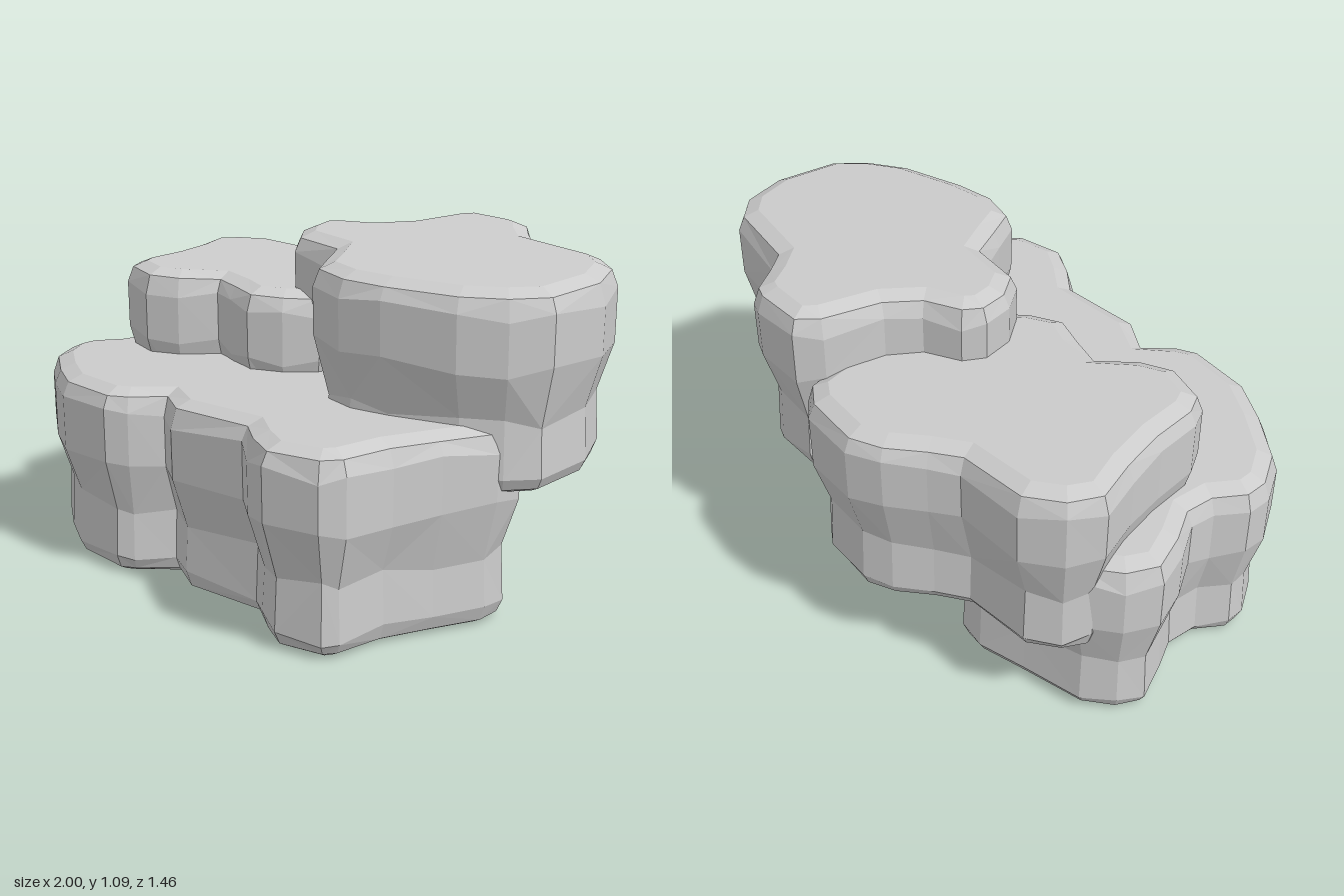
import * as THREE from 'three';

const material = new THREE.MeshStandardMaterial({ color: 0xcccccc, flatShading: true });

// Side profile shared by every boulder: [height fraction, inset from outline]
const PROFILE = [
  [0, 0.09], [0.025, 0.06], [0.09, 0.042], [0.35, 0.05], [0.62, 0.002],
  [0.88, 0], [0.965, 0.02], [1, 0.07],
];

// Small seeded noise in -1..1
function noise(seed) {
  const s = Math.sin(seed * 127.1 + 11.7) * 43758.5453;
  return (s - Math.floor(s)) * 2 - 1;
}

// Move each outline point inward along its averaged normal
function insetRing(outline, amount) {
  const n = outline.length;
  return outline.map(([x, z], i) => {
    const [px, pz] = outline[(i + n - 1) % n];
    const [qx, qz] = outline[(i + 1) % n];
    const a = new THREE.Vector2(-(z - pz), x - px).normalize();
    const b = new THREE.Vector2(-(qz - z), qx - x).normalize();
    const out = a.add(b).normalize();
    return [x - out.x * amount, z - out.y * amount];
  });
}

// Loft an outline (counter-clockwise from above) through the profile, with a slight tilt
function boulder(name, outline, bottom, top, tiltX, tiltZ, seed) {
  const n = outline.length;
  const cx = outline.reduce((s, p) => s + p[0], 0) / n;
  const cz = outline.reduce((s, p) => s + p[1], 0) / n;
  const positions = [];
  const index = [];
  const rings = PROFILE.map(([, inset]) => insetRing(outline, inset));

  rings.forEach((ring, k) => {
    const t = PROFILE[k][0];
    const wobble = k > 1 && k < PROFILE.length - 2 ? 0.016 : 0;
    ring.forEach(([x, z], i) => {
      const y = bottom + (top - bottom) * t + tiltX * (x - cx) + tiltZ * (z - cz);
      positions.push(x, y + wobble * noise(seed + k * 31 + i), z);
    });
  });

  // Side walls
  for (let k = 0; k < rings.length - 1; k++) {
    for (let i = 0; i < n; i++) {
      const j = (i + 1) % n;
      const a = k * n + i, b = k * n + j, c = b + n, d = a + n;
      if ((i + k) % 2) index.push(a, b, c, a, c, d);
      else index.push(a, b, d, b, c, d);
    }
  }

  // Flat caps
  const cap = (k, flip) => {
    const points = rings[k].map(([x, z]) => new THREE.Vector2(x, -z));
    for (const [a, b, c] of THREE.ShapeUtils.triangulateShape(points, [])) {
      const o = k * n;
      if (flip) index.push(o + a, o + c, o + b);
      else index.push(o + a, o + b, o + c);
    }
  };
  cap(0, true);
  cap(rings.length - 1, false);

  const geometry = new THREE.BufferGeometry();
  geometry.setAttribute('position', new THREE.Float32BufferAttribute(positions, 3));
  geometry.setIndex(index);
  geometry.computeVertexNormals();
  const mesh = new THREE.Mesh(geometry, material);
  mesh.name = name;
  return mesh;
}

// Outlines as [x, z], running left, front, right, back
const BASE = [
  [-1, -0.15], [-0.94, -0.02], [-0.87, 0.08], [-0.87, 0.17], [-0.925, 0.27], [-0.915, 0.36],
  [-0.83, 0.48], [-0.66, 0.59], [-0.5, 0.67], [-0.26, 0.685], [-0.19, 0.645], [-0.12, 0.555],
  [0, 0.625], [0.3, 0.6], [0.4, 0.67], [0.53, 0.73], [0.71, 0.685], [0.755, 0.62],
  [0.77, 0.45], [0.82, 0.3], [0.88, 0.13], [0.865, 0.01], [0.8, -0.05], [0.66, -0.06],
  [0.42, 0], [0.24, -0.15], [0.11, -0.21], [0.01, -0.15], [-0.1, -0.02], [-0.22, 0.02],
  [-0.25, -0.2], [-0.28, -0.36], [-0.36, -0.45], [-0.48, -0.46],
  [-0.65, -0.41], [-0.86, -0.35], [-0.96, -0.26],
];
const MIDDLE = [
  [-0.935, -0.32], [-0.87, -0.17], [-0.82, -0.02], [-0.79, 0.14], [-0.74, 0.215], [-0.58, 0.26],
  [-0.47, 0.21], [-0.38, 0.11], [-0.28, 0.14], [-0.15, 0.18], [-0.04, 0.125], [0.045, 0.04],
  [0.07, -0.12], [0.12, -0.3], [0.12, -0.5], [0.065, -0.66], [-0.03, -0.715], [-0.25, -0.73],
  [-0.36, -0.68], [-0.46, -0.59], [-0.54, -0.53], [-0.78, -0.515], [-0.89, -0.43],
];
const UPPER = [
  [-0.19, -0.17], [-0.16, -0.06], [-0.075, 0.035], [0.12, 0.06], [0.19, 0.17], [0.27, 0.285],
  [0.42, 0.325], [0.57, 0.305], [0.8, 0.235], [0.92, 0.15], [0.997, 0.04], [0.99, -0.2],
  [0.91, -0.37], [0.8, -0.455], [0.5, -0.5], [0.43, -0.57], [0.35, -0.66], [0.29, -0.68],
  [0.1, -0.675], [0.045, -0.6], [0.02, -0.4], [-0.04, -0.3], [-0.155, -0.24],
];

export function createModel() {
  const group = new THREE.Group();
  group.name = 'rockPile';
  group.add(
    boulder('baseBoulder', BASE, 0, 0.62, 0, 0, 3),
    boulder('middleBoulder', MIDDLE, 0.275, 0.9, -0.045, 0, 57),
    boulder('upperBoulder', UPPER, 0.45, 1.06, -0.045, -0.045, 91),
  );
  return group;
}
